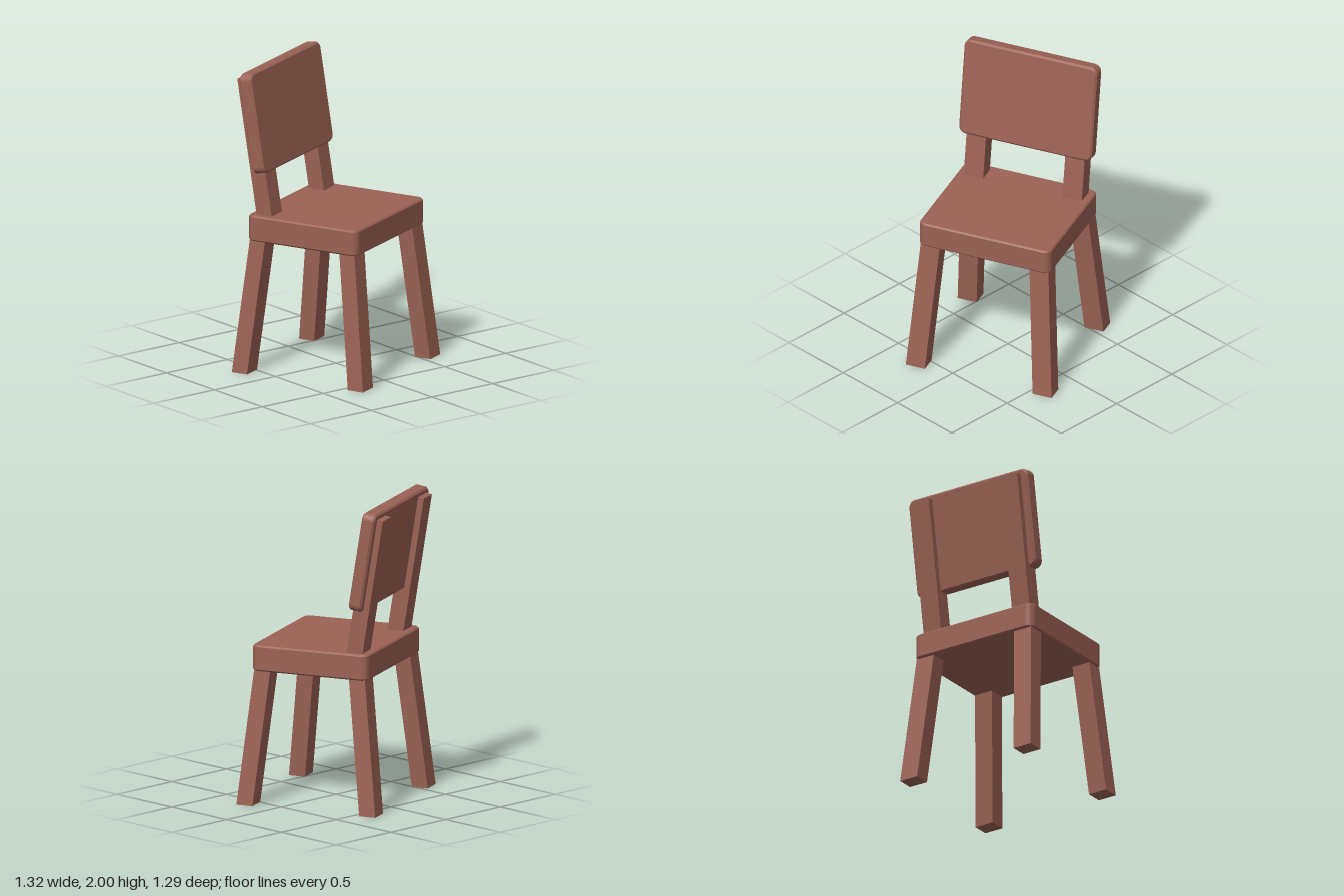
import * as THREE from 'three';

const material = new THREE.MeshStandardMaterial({ color: 0x9c6255, flatShading: true });

function part(name, geometry, parent) {
  const mesh = new THREE.Mesh(geometry, material);
  mesh.name = name;
  parent.add(mesh);
  return mesh;
}

// Centred slab in the XY plane with rounded corners and a fine bevel
function slab(width, height, depth, radius, bevel) {
  const x = width / 2 - bevel, y = height / 2 - bevel, r = radius;
  const s = new THREE.Shape();
  s.moveTo(-x + r, -y);
  s.lineTo(x - r, -y);
  s.absarc(x - r, -y + r, r, -Math.PI / 2, 0);
  s.absarc(x - r, y - r, r, 0, Math.PI / 2);
  s.absarc(-x + r, y - r, r, Math.PI / 2, Math.PI);
  s.absarc(-x + r, -y + r, r, Math.PI, Math.PI * 1.5);
  const g = new THREE.ExtrudeGeometry(s, {
    depth: depth - 2 * bevel, bevelEnabled: true, bevelThickness: bevel,
    bevelSize: bevel, bevelSegments: 1, curveSegments: 3,
  });
  return g.translate(0, 0, -depth / 2 + bevel);
}

// Splayed leg: a box sheared inward towards the seat, with a flat foot
function legGeometry(sx, sz) {
  const w = 0.133, d = 0.112, h = 0.95;
  const g = new THREE.BoxGeometry(w, h, d).translate(0, h / 2, 0);
  const p = g.attributes.position;
  for (let i = 0; i < p.count; i++) {
    const y = p.getY(i);
    p.setX(i, p.getX(i) + sx * (0.511 - w / 2 - 0.071 * y));
    p.setZ(i, p.getZ(i) + sz * (0.485 - d / 2 - 0.11 * y));
  }
  g.computeVertexNormals();
  return g;
}

export function createModel() {
  const model = new THREE.Group();
  model.name = 'chair';
  const chair = new THREE.Group();
  chair.name = 'turnedChair';
  chair.rotation.y = THREE.MathUtils.degToRad(22.5);
  model.add(chair);

  // Seat
  const seat = part('seat', slab(0.922, 0.81, 0.17, 0.04, 0.01), chair);
  seat.rotation.x = -Math.PI / 2;
  seat.position.y = 0.97;

  // Legs
  for (const sx of [-1, 1]) {
    const side = sx > 0 ? 'Left' : 'Right';
    part('front' + side + 'Leg', legGeometry(sx, 1), chair);
    part('back' + side + 'Leg', legGeometry(sx, -1), chair);
  }

  // Leaning posts and back panel
  const lean = -Math.atan(0.16);
  for (const sx of [-1, 1]) {
    const g = new THREE.BoxGeometry(0.136, 1.0, 0.11).translate(0, 0.42, -0.055);
    const post = part(sx > 0 ? 'leftBackPost' : 'rightBackPost', g, chair);
    post.position.set(sx * 0.346, 1.055, -0.245);
    post.rotation.x = lean;
  }
  const panel = part('backPanel', slab(0.93, 0.664, 0.09, 0.035, 0.012), chair);
  panel.position.set(0, 1.667, -0.368);
  panel.rotation.x = lean;

  return model;
}
